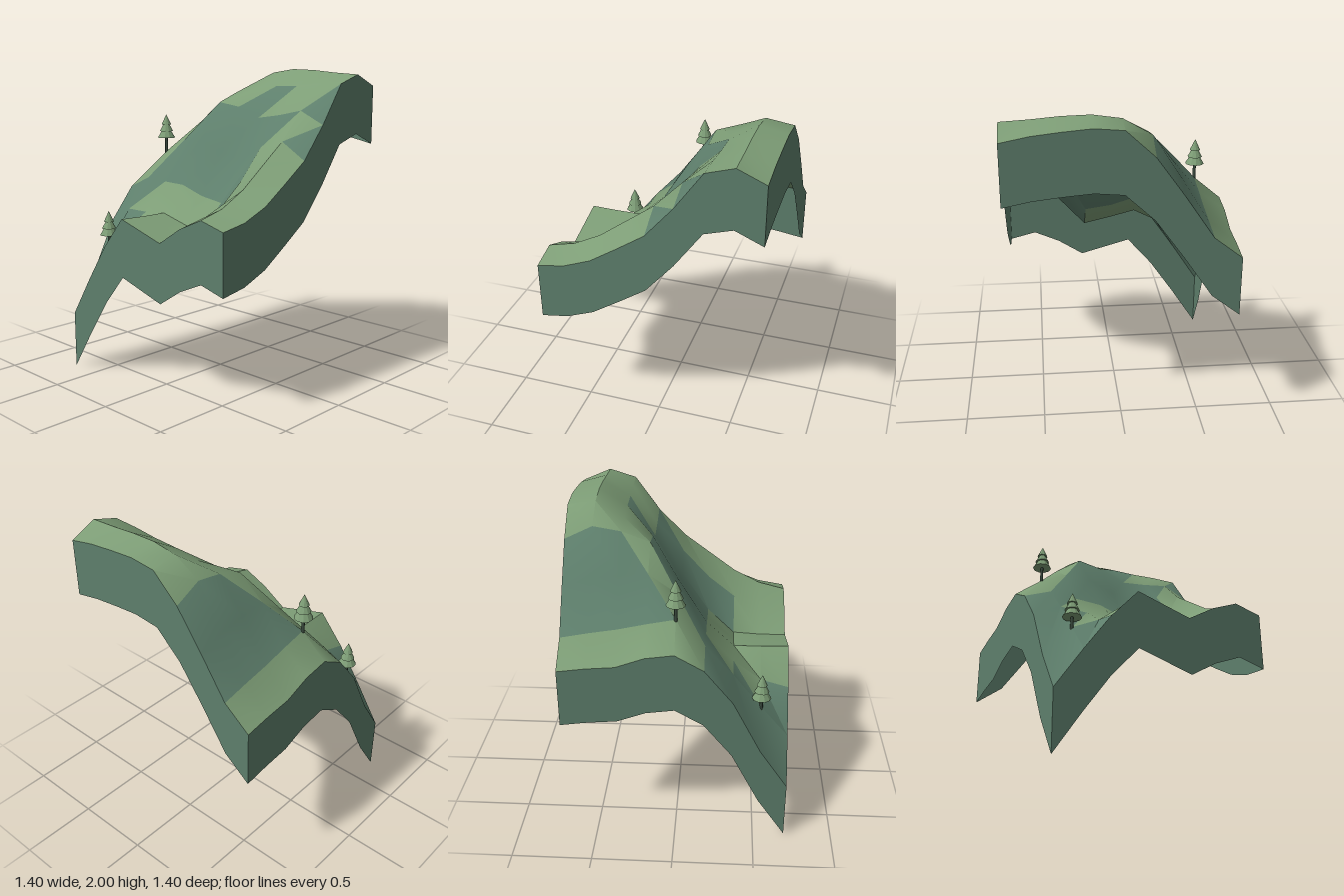
import * as THREE from 'three';
import { toCreasedNormals } from 'three/addons/utils/BufferGeometryUtils.js';

const N = 8, STEP = 0.175, HALF = 0.7, SKIRT = 0.375;

// Ground heights: one row per step from back to front, left to right in x
const HEIGHTS = [
  [1.16, 1.295, 1.55, 1.79, 1.95, 1.965, 1.95, 1.93, 1.895],
  [1.185, 1.33, 1.61, 1.875, 1.975, 2.0, 1.995, 1.98, 1.97],
  [1.2, 1.36, 1.63, 1.845, 1.87, 1.89, 1.895, 1.91, 1.915],
  [1.265, 1.4, 1.645, 1.78, 1.755, 1.69, 1.715, 1.75, 1.67],
  [1.29, 1.435, 1.52, 1.53, 1.47, 1.43, 1.52, 1.57, 1.465],
  [1.19, 1.265, 1.255, 1.25, 1.195, 1.17, 1.33, 1.44, 1.345],
  [0.975, 1.07, 1.07, 1.085, 1.04, 1.0, 1.19, 1.31, 1.23],
  [0.635, 0.85, 0.94, 1.085, 1.04, 0.99, 1.13, 1.22, 1.16],
  [0.375, 0.64, 0.89, 1.09, 1.04, 0.99, 1.1, 1.175, 1.13],
];

// Cover of each cell: . grass, # rock, a rock in back-left half, b rock in front-right half
const COVER = [
  '.##.....',
  '.##.....',
  '.#a.ba.b',
  '.ab###ab',
  '.b####..',
  '#a...#..',
  '#a......',
  '##......',
];

const point = (i, j, drop = 0) => [-HALF + i * STEP, HEIGHTS[j][i] - drop, -HALF + j * STEP];

function geometryFrom(corners) {
  const geometry = new THREE.BufferGeometry();
  geometry.setAttribute('position', new THREE.Float32BufferAttribute(corners.flat(), 3));
  return geometry;
}

// Hillside surface, with one material group for grass and one for rock
function makeGround(materials) {
  const grass = [], rock = [];
  for (let j = 0; j < N; j++) {
    for (let i = 0; i < N; i++) {
      const cover = COVER[j][i];
      const a = point(i, j), b = point(i, j + 1), c = point(i + 1, j + 1), d = point(i + 1, j);
      ('#a'.includes(cover) ? rock : grass).push(a, b, d);
      ('#b'.includes(cover) ? rock : grass).push(b, c, d);
    }
  }
  const geometry = toCreasedNormals(geometryFrom([...grass, ...rock]), 0.6);
  geometry.clearGroups();
  geometry.addGroup(0, grass.length, 0);
  geometry.addGroup(grass.length, rock.length, 1);
  return new THREE.Mesh(geometry, materials);
}

// Vertical earth wall that follows the rim on all four sides
function makeSkirt(material) {
  const rim = [];
  for (let k = 0; k < N; k++) rim.push([k, N]);
  for (let k = 0; k < N; k++) rim.push([N, N - k]);
  for (let k = 0; k < N; k++) rim.push([N - k, 0]);
  for (let k = 0; k < N; k++) rim.push([0, k]);
  const corners = [];
  rim.forEach((p, k) => {
    const q = rim[(k + 1) % rim.length];
    const t0 = point(...p), t1 = point(...q);
    const b0 = point(...p, SKIRT), b1 = point(...q, SKIRT);
    corners.push(t0, b0, b1, t0, b1, t1);
  });
  const geometry = geometryFrom(corners);
  geometry.computeVertexNormals();
  return new THREE.Mesh(geometry, material);
}

// Fir tree: a thin trunk under three stacked cones
function makeTree(leaf, bark) {
  const tree = new THREE.Group();
  const trunk = new THREE.Mesh(new THREE.CylinderGeometry(0.009, 0.011, 0.13, 8), bark);
  trunk.name = 'trunk';
  trunk.position.y = 0.055;
  tree.add(trunk);
  const tiers = [[0.06, 0.095, 0.1], [0.046, 0.14, 0.085], [0.033, 0.185, 0.07]];
  tiers.forEach(([radius, base, height], k) => {
    const geometry = toCreasedNormals(new THREE.ConeGeometry(radius, height, 10), 0.3);
    const cone = new THREE.Mesh(geometry, leaf);
    cone.name = 'foliage' + (k + 1);
    cone.position.y = base + height / 2;
    tree.add(cone);
  });
  return tree;
}

export function createModel() {
  const flat = (name, color, side = THREE.FrontSide) => {
    const material = new THREE.MeshStandardMaterial({ color, side });
    material.name = name;
    return material;
  };
  const grass = flat('grass', 0x7d9d76, THREE.DoubleSide);
  const rock = flat('rock', 0x5e7f6c, THREE.DoubleSide);
  const bark = flat('bark', 0x3a4a3e);

  const model = new THREE.Group();
  model.name = 'hillside';

  const ground = makeGround([grass, rock]);
  ground.name = 'ground';
  const skirt = makeSkirt(rock);
  skirt.name = 'skirt';
  model.add(ground, skirt);

  // Trees stand on grid points of the left slope
  [[1, 4], [1, 7]].forEach(([i, j], k) => {
    const tree = makeTree(grass, bark);
    tree.name = 'tree' + (k + 1);
    tree.position.set(...point(i, j, k * 0.03));
    model.add(tree);
  });
  return model;
}
